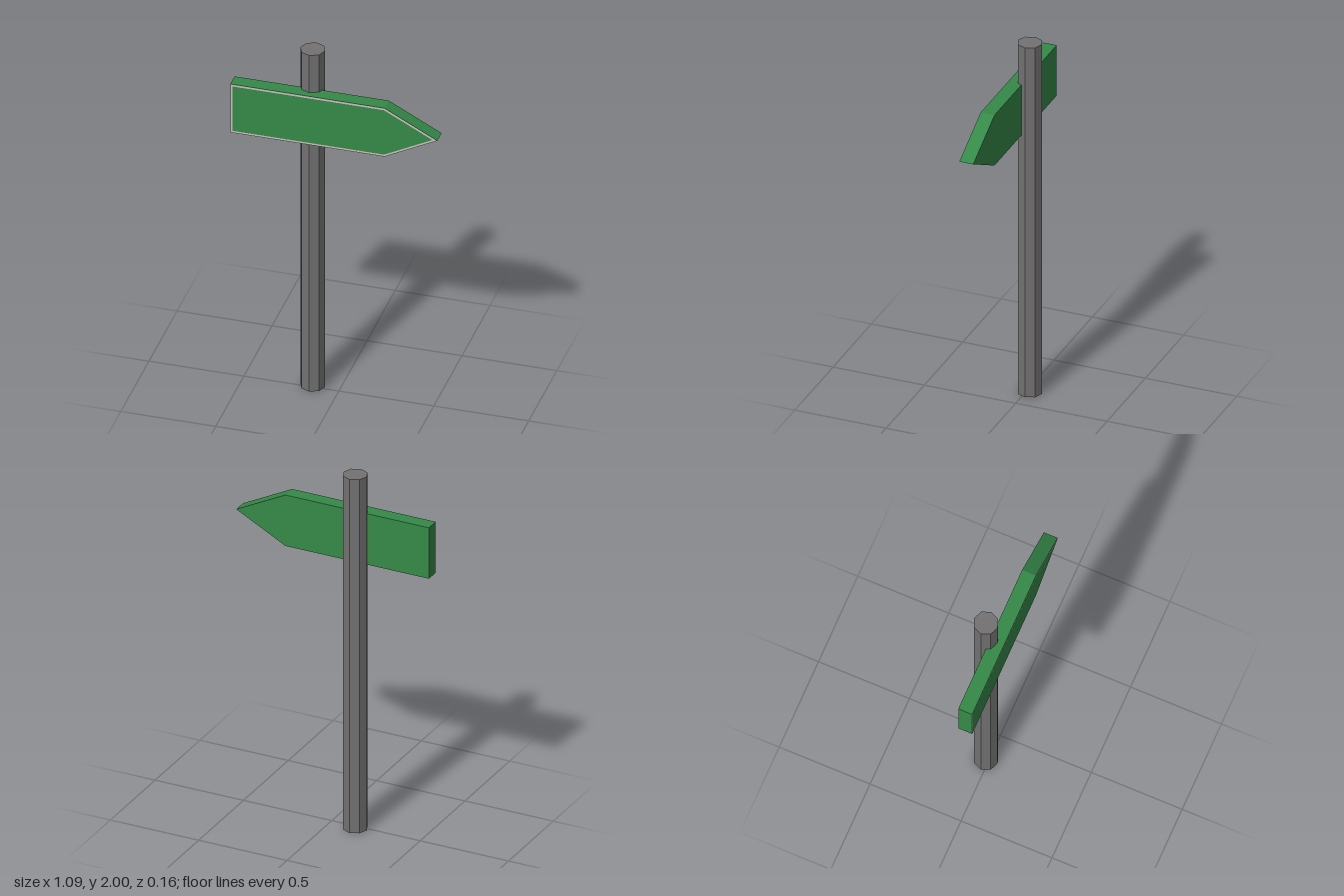
import * as THREE from 'three';

const LEFT = -0.547, SHOULDER = 0.265, TIP = 0.543;
const HALF = 0.144, MID_Y = 1.635, BACK_Z = 0.005, FRONT_Z = 0.081;

// Corners of the arrow outline, moved inwards by w on every side
function arrowPoints(w) {
  const run = TIP - SHOULDER;
  const tip = TIP - w * Math.hypot(run, HALF) / HALF;
  const shoulder = tip - (HALF - w) * run / HALF;
  const h = HALF - w;
  return [[LEFT + w, -h], [shoulder, -h], [tip, 0], [shoulder, h], [LEFT + w, h]]
    .map(([x, y]) => new THREE.Vector2(x, y));
}

export function createModel() {
  const group = new THREE.Group();
  const material = (name, color) => {
    const m = new THREE.MeshStandardMaterial({ color });
    m.name = name;
    return m;
  };
  const postGrey = material('postGrey', 0x737172);
  postGrey.flatShading = true;
  const signGreen = material('signGreen', 0x358948);
  const borderGrey = material('borderGrey', 0xc8c0be);

  const add = (name, geometry, mat, x, y, z) => {
    const mesh = new THREE.Mesh(geometry, mat);
    mesh.name = name;
    mesh.position.set(x, y, z);
    group.add(mesh);
  };

  // Octagonal post
  add('post', new THREE.CylinderGeometry(0.065, 0.065, 2, 8), postGrey, -0.142, 1, -0.018);

  // Arrow-shaped board
  add('arrowBoard', new THREE.ExtrudeGeometry(new THREE.Shape(arrowPoints(0)),
    { depth: FRONT_Z - BACK_Z, bevelEnabled: false }), signGreen, 0, MID_Y, BACK_Z);

  // Thin painted outline on the front of the board
  const outline = new THREE.Shape(arrowPoints(0.001));
  outline.holes.push(new THREE.Path(arrowPoints(0.012)));
  add('boardBorder', new THREE.ShapeGeometry(outline), borderGrey, 0, MID_Y, FRONT_Z + 0.001);

  return group;
}
